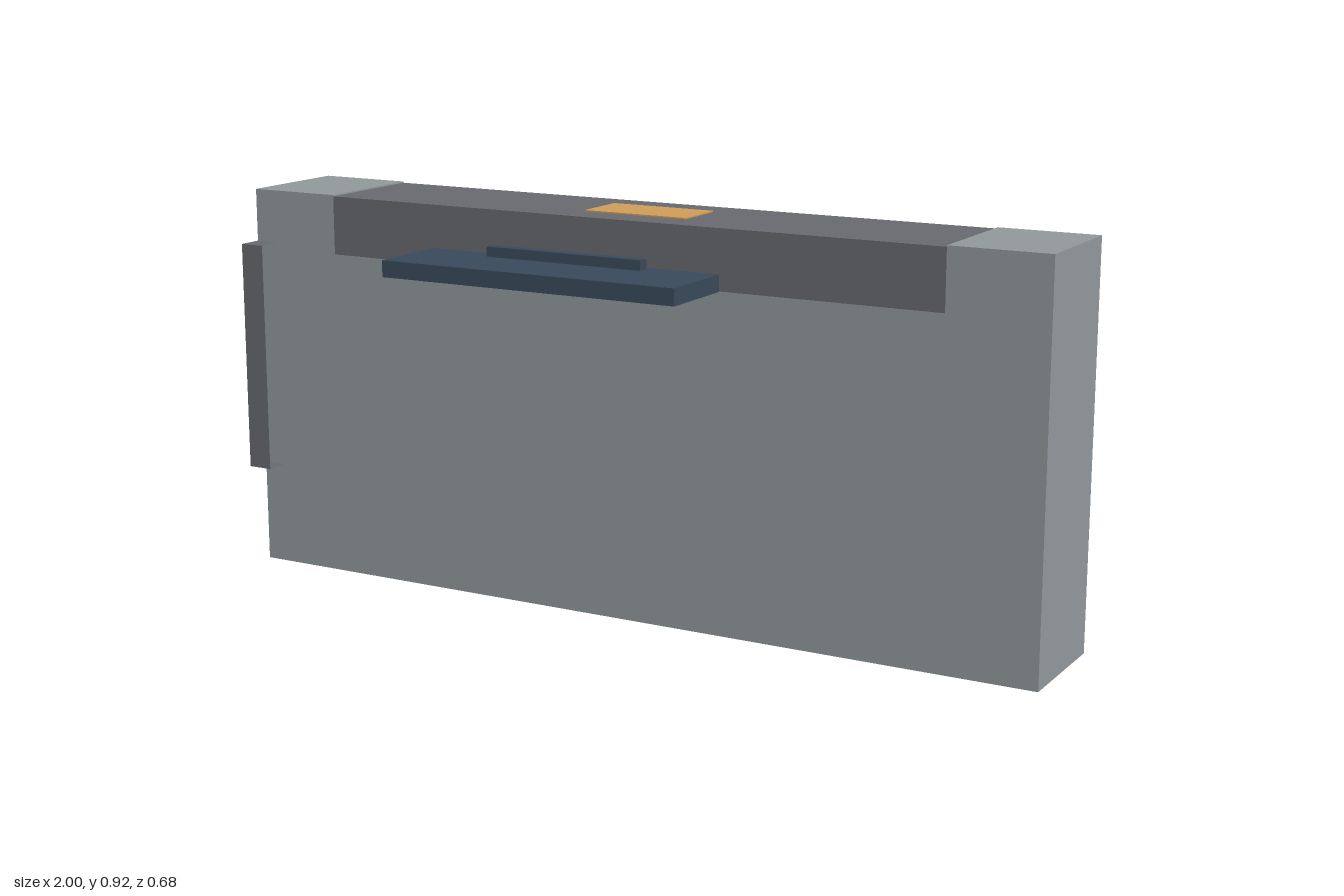
import * as THREE from 'three';

export function createModel() {
  const model = new THREE.Group();
  const paint = (name, color, side = THREE.FrontSide) => {
    const m = new THREE.MeshStandardMaterial({ color, side });
    m.name = name;
    return m;
  };
  const grey = paint('light grey', 0x90979a);
  const dark = paint('dark grey', 0x68696e, THREE.DoubleSide);
  const blue = paint('slate blue', 0x38495a, THREE.DoubleSide);
  const amber = paint('amber', 0xcf9c58);

  const add = (name, geometry, material) => {
    const mesh = new THREE.Mesh(geometry, material);
    mesh.name = name;
    model.add(mesh);
    return mesh;
  };

  // Box between two corners; openSide (0..5 = +x -x +y -y +z -z) leaves one face out
  const box = (x0, x1, y0, y1, z0, z1, openSide = -1) => {
    const g = new THREE.BoxGeometry(x1 - x0, y1 - y0, z1 - z0);
    g.translate((x0 + x1) / 2, (y0 + y1) / 2, (z0 + z1) / 2);
    if (openSide >= 0) {
      const index = Array.from(g.index.array);
      index.splice(openSide * 6, 6);
      g.setIndex(index);
      g.clearGroups();
    }
    return g;
  };

  // Main slab with a notch along the top
  const outline = new THREE.Shape([
    [-0.998, 0], [1, 0], [1, 0.915], [0.77, 0.915],
    [0.77, 0.775], [-0.77, 0.775], [-0.77, 0.915], [-0.998, 0.915],
  ].map(([x, y]) => new THREE.Vector2(x, y)));
  const slab = new THREE.ExtrudeGeometry(outline, { depth: 0.284, bevelEnabled: false });
  slab.translate(0, 0, -0.142);
  add('body', slab, grey);

  // Dark insert filling the notch, with a marker plate on top
  add('topBand', box(-0.77, 0.77, 0.775, 0.912, -0.142, 0.142), dark);
  add('topMarker', box(-0.13, 0.125, 0.911, 0.915, -0.065, 0.065), amber);

  // Hollow end cap, open towards the body
  add('endCap', box(-1, -0.94, 0.245, 0.79, -0.2, 0.2, 0), dark);

  // Hollow shelf through the body, open underneath, with a ridge on each side
  add('shelf', box(-0.49, 0.25, 0.774, 0.812, -0.342, 0.342, 3), blue);
  for (const [name, z] of [['frontRidge', 0.172], ['backRidge', -0.172]]) {
    add(name, box(-0.315, 0.08, 0.812, 0.835, z - 0.014, z + 0.014), blue);
  }

  return model;
}
